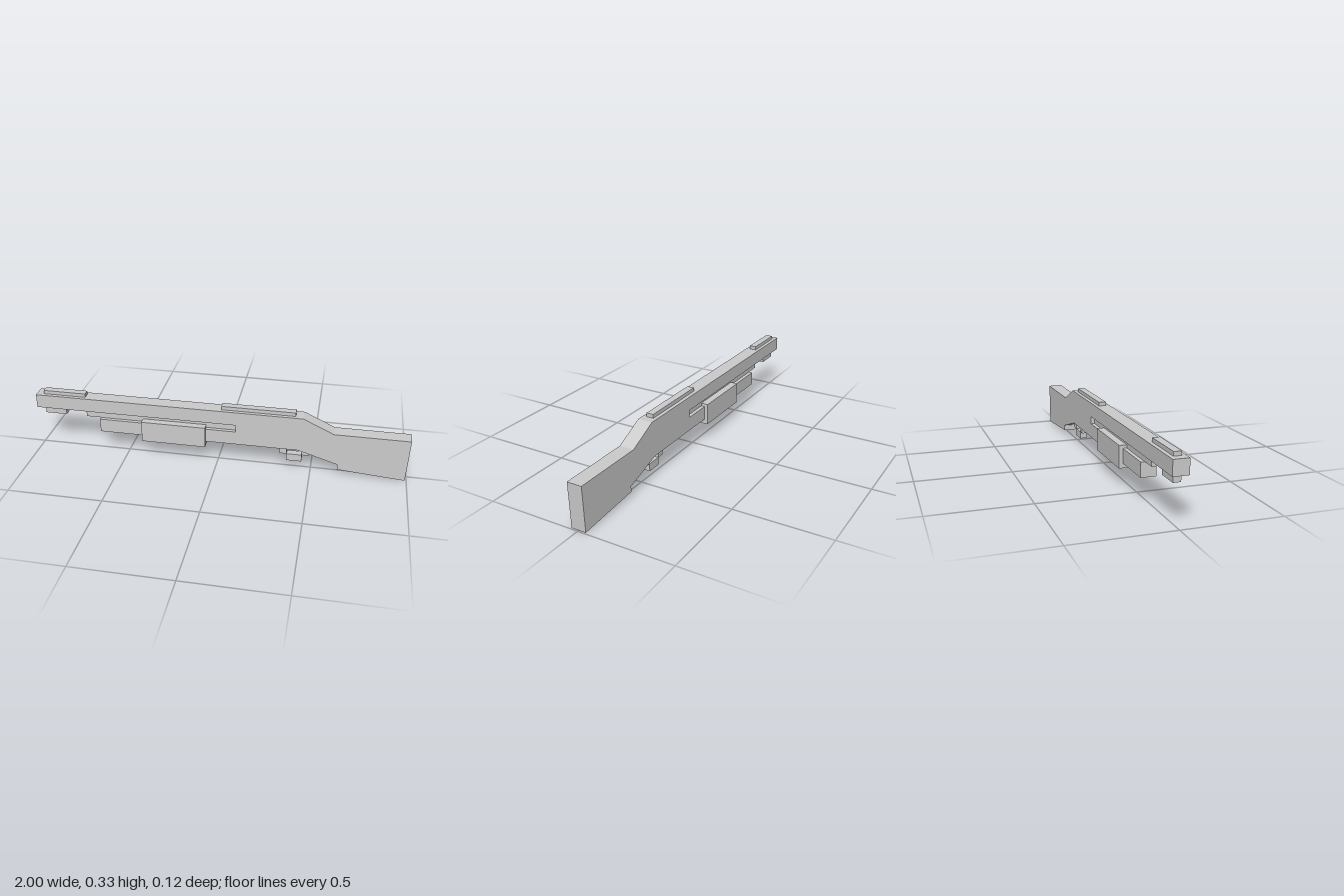
import * as THREE from 'three';

const material = new THREE.MeshStandardMaterial({ color: 0xcccccc, flatShading: true });

export function createModel() {
  const model = new THREE.Group();

  // Box given by its x and y limits, centred on z = 0
  function block(name, x0, x1, y0, y1, halfDepth = 0.019) {
    const mesh = new THREE.Mesh(new THREE.BoxGeometry(x1 - x0, y1 - y0, halfDepth * 2), material);
    mesh.name = name;
    mesh.position.set((x0 + x1) / 2, (y0 + y1) / 2, 0);
    model.add(mesh);
  }

  // Barrel, receiver, stock and lower tube as one profile with a long slot
  const profile = [
    [-1, 0.24], [0.097, 0.24], [0.097, 0.2], [-0.647, 0.2], [-0.647, 0.125],
    [0.43, 0.125], [0.64, 0.06], [0.64, 0.03], [0.992, 0.003],
    [1, 0.24], [0.61, 0.24], [0.45, 0.315], [-1, 0.315],
  ];
  const shape = new THREE.Shape(profile.map(([x, y]) => new THREE.Vector2(x, y)));
  const bodyGeometry = new THREE.ExtrudeGeometry(shape, { depth: 0.078, bevelEnabled: false });
  bodyGeometry.translate(0, 0, -0.039);
  const body = new THREE.Mesh(bodyGeometry, material);
  body.name = 'body';
  model.add(body);

  // Narrow strip inside the slot, and the sliding grip
  block('slotStrip', -0.727, 0.097, 0.2, 0.24);
  block('slidingGrip', -0.41, -0.063, 0.1, 0.216, 0.058);

  // Rails on top and the lug below the muzzle
  block('frontRail', -0.96, -0.727, 0.315, 0.335);
  block('rearRail', 0.018, 0.408, 0.315, 0.335);
  block('muzzleLug', -0.96, -0.843, 0.2, 0.24);

  // Stepped trigger guard
  block('guardFront', 0.332, 0.37, 0.085, 0.125);
  block('guardBottom', 0.37, 0.45, 0.045, 0.085);
  block('guardRear', 0.45, 0.487, 0.085, 0.125);

  return model;
}
